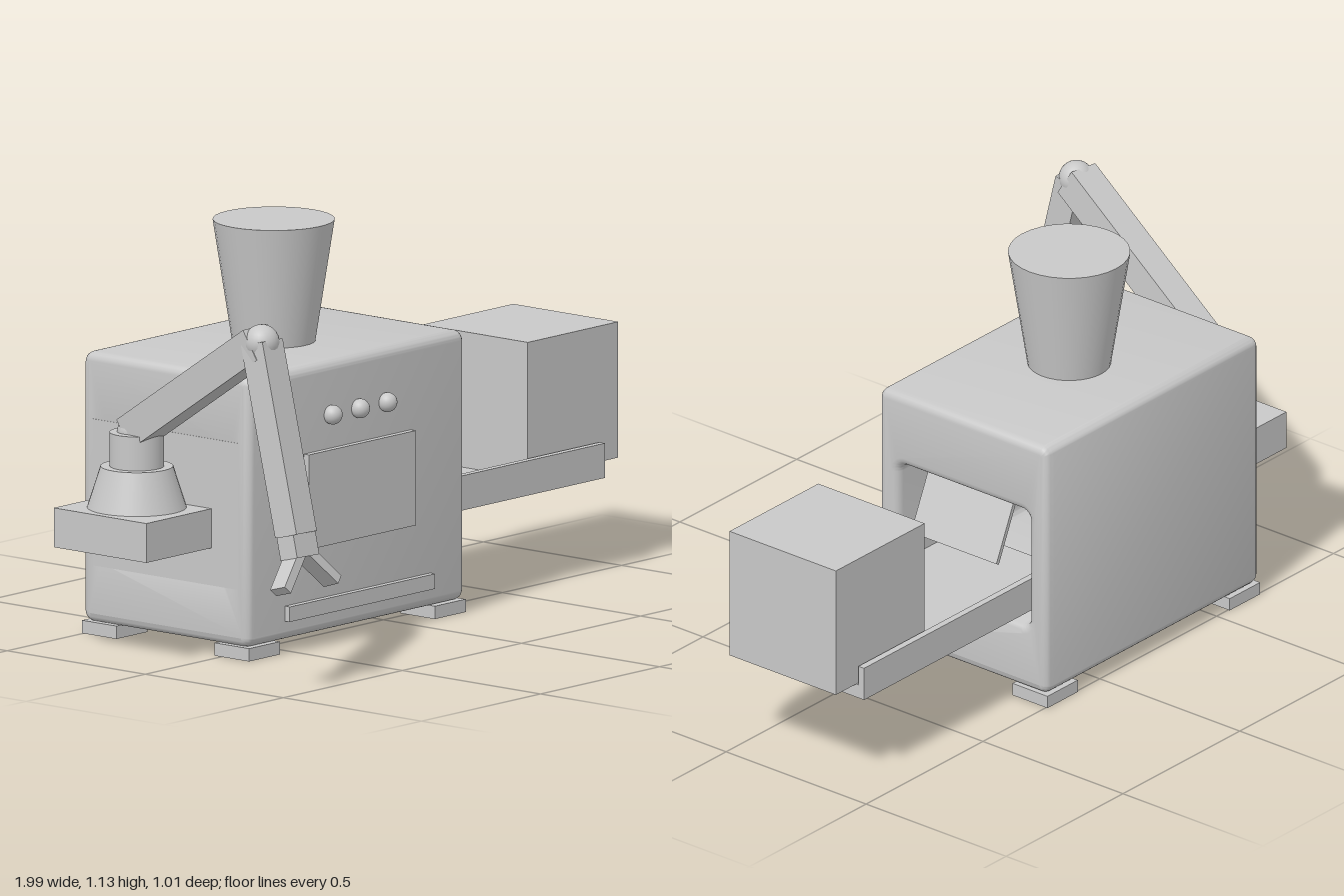
import * as THREE from 'three';
import { toCreasedNormals } from 'three/addons/utils/BufferGeometryUtils.js';

const grey = new THREE.MeshStandardMaterial({ color: 0xc8c8c8 });
grey.name = 'plain grey';

// Rounded rectangle outline between two corners
function roundedRect(path, x0, y0, x1, y1, r) {
  path.moveTo(x0 + r, y0);
  path.lineTo(x1 - r, y0);
  path.absarc(x1 - r, y0 + r, r, -Math.PI / 2, 0);
  path.lineTo(x1, y1 - r);
  path.absarc(x1 - r, y1 - r, r, 0, Math.PI / 2);
  path.lineTo(x0 + r, y1);
  path.absarc(x0 + r, y1 - r, r, Math.PI / 2, Math.PI);
  path.lineTo(x0, y0 + r);
  path.absarc(x0 + r, y0 + r, r, Math.PI, Math.PI * 1.5);
  return path;
}

export function createModel() {
  const model = new THREE.Group();
  model.name = 'foodMachine';

  const add = (name, geometry, x = 0, y = 0, z = 0) => {
    const mesh = new THREE.Mesh(geometry, grey);
    mesh.name = name;
    mesh.position.set(x, y, z);
    model.add(mesh);
    return mesh;
  };
  // Box given by its minimum and maximum on each axis
  const box = (name, x0, x1, y0, y1, z0, z1) =>
    add(name, new THREE.BoxGeometry(x1 - x0, y1 - y0, z1 - z0),
      (x0 + x1) / 2, (y0 + y1) / 2, (z0 + z1) / 2);
  const ball = (name, r, x, y, z) => add(name, new THREE.SphereGeometry(r, 24, 16), x, y, z);
  // Square bar running between two points
  const bar = (name, a, b, width, depth) => {
    const from = new THREE.Vector3(...a), to = new THREE.Vector3(...b);
    const along = to.clone().sub(from);
    const mesh = add(name, new THREE.BoxGeometry(width, along.length(), depth));
    const yAxis = along.normalize();
    const zAxis = new THREE.Vector3(1, 0, 0).cross(yAxis).normalize();
    const xAxis = yAxis.clone().cross(zAxis);
    mesh.quaternion.setFromRotationMatrix(new THREE.Matrix4().makeBasis(xAxis, yAxis, zAxis));
    mesh.position.copy(from.add(to).multiplyScalar(0.5));
    return mesh;
  };

  // Housing: rounded block with an opening on its left side
  const bevel = 0.025;
  const outline = roundedRect(new THREE.Shape(), -0.075, 0.06, 0.48, 0.765, 0.005);
  outline.holes.push(roundedRect(new THREE.Path(), -0.055, 0.2, 0.46, 0.6, 0.05));
  const housing = new THREE.ExtrudeGeometry(outline, {
    depth: 0.91 - 2 * bevel, curveSegments: 5,
    bevelSize: bevel, bevelThickness: bevel, bevelSegments: 4,
  });
  housing.rotateY(Math.PI / 2);
  add('housing', toCreasedNormals(housing, 0.6), -0.68 + bevel, 0, 0);
  box('closedSideWall', -0.681, -0.55, 0.195, 0.605, -0.465, 0.06);

  // Feet
  for (const x of [-0.68, 0.1])
    for (const z of [-0.505, -0.025]) box('foot', x, x + 0.13, 0, 0.036, z, z + 0.125);

  // Front window, vent and knobs
  box('frontWindow', -0.45, 0, 0.28, 0.545, 0.09, 0.118);
  box('frontVent', -0.53, 0.08, 0.09, 0.132, 0.09, 0.118);
  for (const x of [-0.34, -0.225, -0.11]) ball('knob', 0.027, x, 0.64, 0.11);

  // Hopper
  add('hopper', new THREE.CylinderGeometry(0.168, 0.114, 0.345, 32), -0.225, 0.9575, -0.203);

  // Outlet tray, package and flap
  box('trayFloor', 0.0, 0.913, 0.26, 0.3, -0.4, -0.005);
  box('trayRail', 0.0, 0.913, 0.26, 0.357, -0.005, 0.015);
  box('trayRail', 0.0, 0.913, 0.26, 0.357, -0.42, -0.4);
  box('package', 0.62, 1.0, 0.3, 0.68, -0.392, -0.012);
  bar('outletFlap', [0.19, 0.585, -0.208], [0.27, 0.41, -0.208], 0.012, 0.305);

  // Arm mount
  box('armShelf', -0.955, -0.66, 0.3, 0.41, -0.37, -0.035);
  add('armCone', new THREE.CylinderGeometry(0.1, 0.137, 0.115, 32), -0.795, 0.4675, -0.207);
  add('armNeck', new THREE.CylinderGeometry(0.075, 0.075, 0.1, 32), -0.795, 0.57, -0.207);

  // Arm
  const shoulder = [-0.795, 0.62, -0.213], elbow = [-0.862, 0.948, 0.303];
  const wrist = [-0.877, 0.43, 0.44];
  ball('shoulderJoint', 0.05, ...shoulder);
  bar('upperArm', shoulder, elbow, 0.092, 0.092);
  ball('elbowJoint', 0.049, ...elbow);
  bar('forearm', elbow, wrist, 0.085, 0.08);
  bar('wrist', wrist, [-0.879, 0.368, 0.456], 0.092, 0.062);
  bar('finger', [-0.895, 0.376, 0.452], [-0.984, 0.291, 0.476], 0.028, 0.055);
  bar('finger', [-0.857, 0.376, 0.452], [-0.77, 0.288, 0.48], 0.028, 0.055);

  return model;
}
